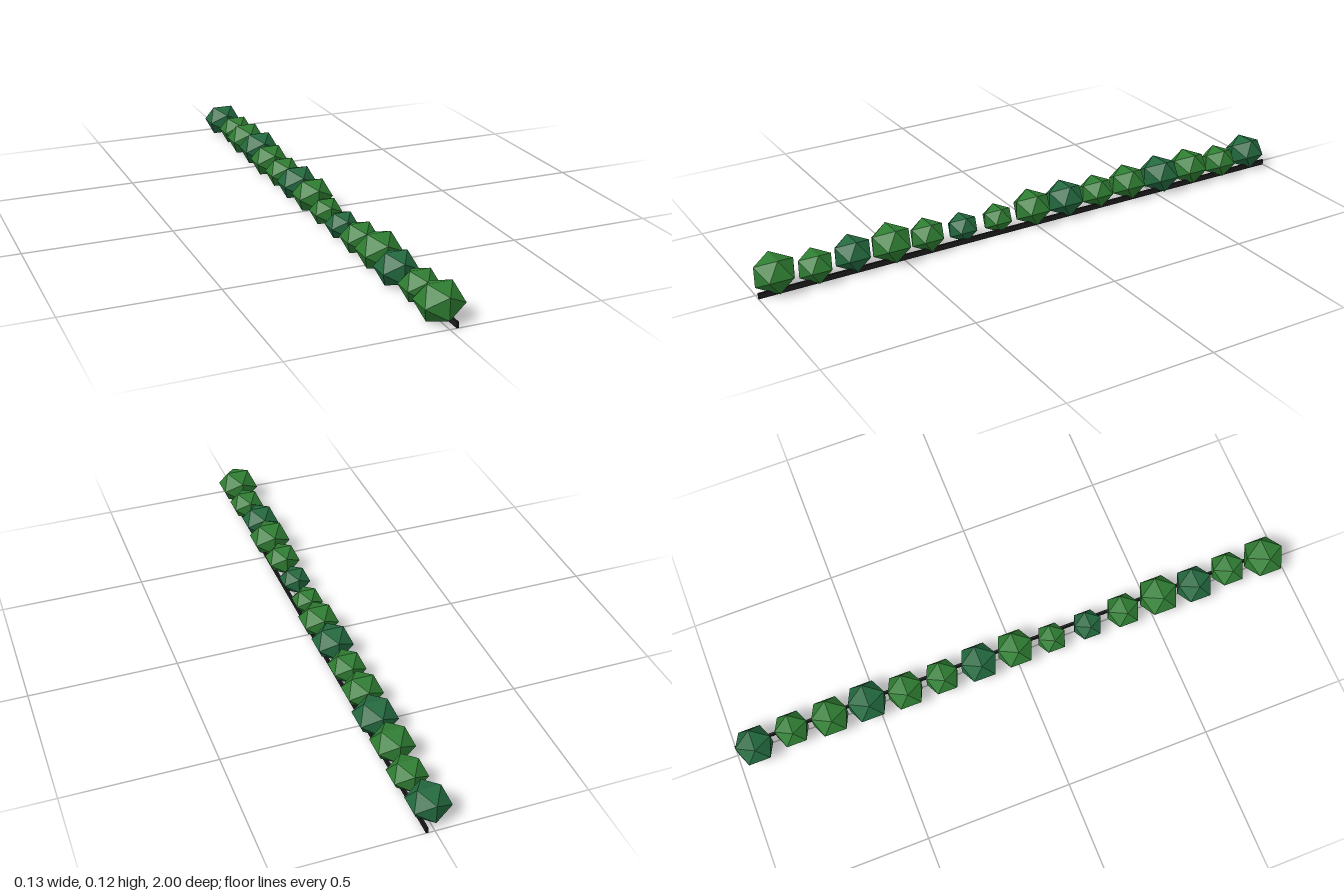
import * as THREE from 'three';

export function createModel() {
  const model = new THREE.Group();
  model.name = 'hedgeRow';

  const leafGreen = new THREE.MeshStandardMaterial({ color: 0x2e7d32, flatShading: true });
  leafGreen.name = 'leaf green';
  const deepGreen = new THREE.MeshStandardMaterial({ color: 0x23693f, flatShading: true });
  deepGreen.name = 'deep green';
  const edging = new THREE.MeshStandardMaterial({ color: 0x1c1c1c });
  edging.name = 'dark edging';

  // Each bush from front to back: half width, sideways offset
  const bushes = [
    [0.0655, -0.001], [0.0555, 0.005], [0.0595, -0.007], [0.0645, -0.001], [0.0550, -0.006],
    [0.0480, -0.008], [0.0480, -0.008], [0.0605, -0.002], [0.0615, -0.004], [0.0555, -0.005],
    [0.0595, -0.007], [0.0640, 0.002], [0.0615, -0.002], [0.0555, 0.005], [0.0605, -0.005],
  ];
  const spacing = 2 / bushes.length;
  const squash = 0.88;
  const bushGeometry = new THREE.IcosahedronGeometry(1, 0);
  const reach = 0.8507; // half width of a unit icosahedron

  // Row of slightly flattened bushes, every third one deeper in colour
  bushes.forEach(([half, x], i) => {
    const bush = new THREE.Mesh(bushGeometry, i % 3 === 2 ? deepGreen : leafGreen);
    bush.name = `bush${i + 1}`;
    const r = half / reach;
    bush.scale.set(r, r * squash, r);
    bush.position.set(x, 0.0035 + half * squash, 1 - spacing * (i + 0.5));
    model.add(bush);
  });

  // Low edging strip along one side of the row
  const strip = new THREE.Mesh(new THREE.BoxGeometry(0.007, 0.019, 2), edging);
  strip.name = 'edgingStrip';
  strip.position.set(0.025, 0.0095, 0);
  model.add(strip);

  return model;
}
